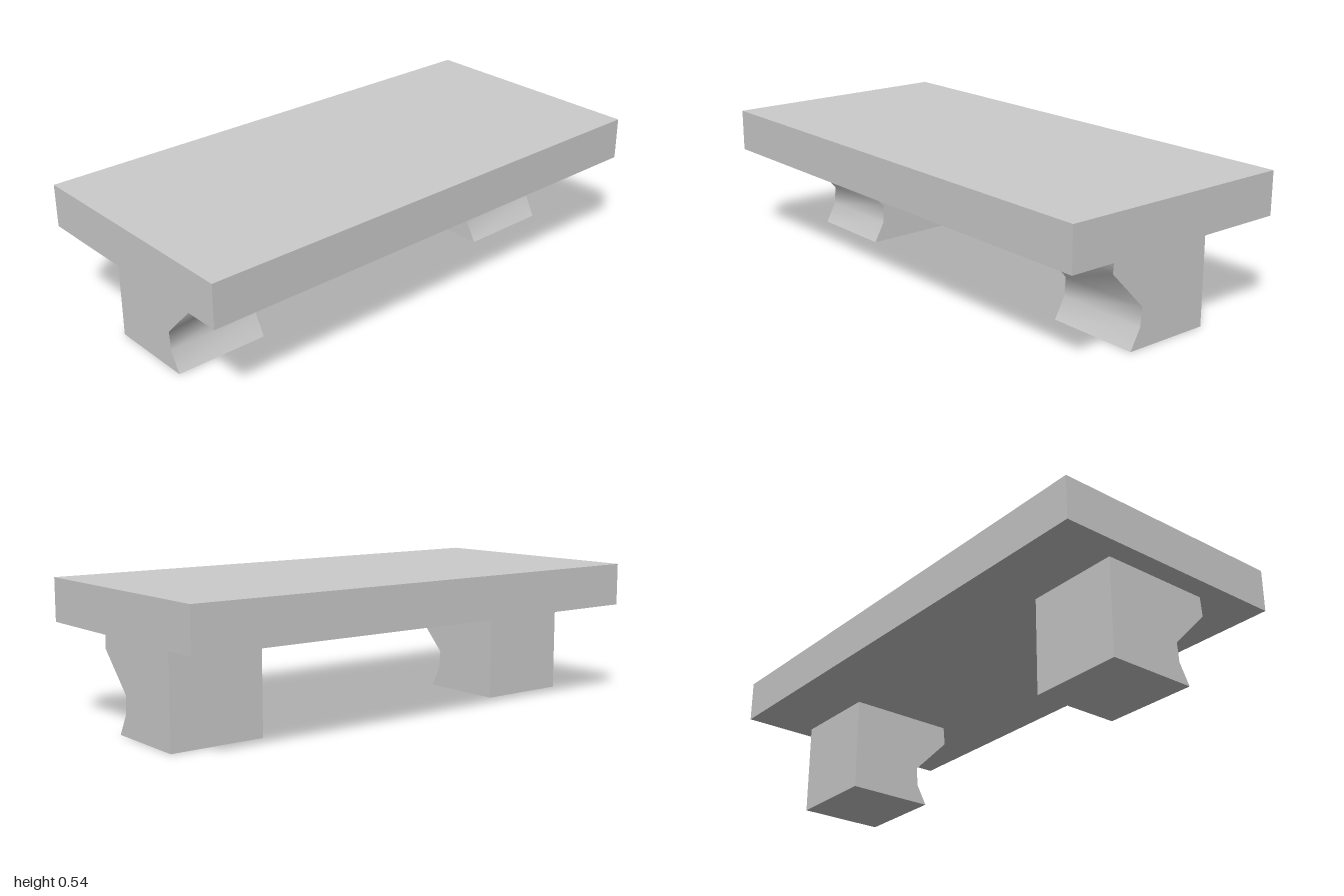
import * as THREE from 'three';
import { toCreasedNormals } from 'three/addons/utils/BufferGeometryUtils.js';

const material = new THREE.MeshStandardMaterial({ color: 0xcccccc });

// Side profile of a foot: straight outer edge, scooped inner edge
const footProfile = [
  [-0.217, 0], [0.132, 0], [0.09, 0.077], [0.084, 0.15],
  [0.228, 0.298], [0.221, 0.371], [-0.217, 0.371],
];

function makeFoot(name, zStart, depth) {
  const shape = new THREE.Shape(footProfile.map(([x, y]) => new THREE.Vector2(x, y)));
  const extruded = new THREE.ExtrudeGeometry(shape, { depth, bevelEnabled: false });
  // Scooped edge is shaded smooth, the square corners stay sharp
  const foot = new THREE.Mesh(toCreasedNormals(extruded, 1.05), material);
  foot.name = name;
  foot.position.z = zStart;
  return foot;
}

export function createModel() {
  const model = new THREE.Group();
  model.name = 'slabBench';

  // Flat slab top
  const top = new THREE.Mesh(new THREE.BoxGeometry(0.954, 0.165, 2), material);
  top.name = 'slabTop';
  top.position.y = 0.371 + 0.165 / 2;
  model.add(top);

  // One foot near each end
  model.add(makeFoot('frontFoot', 0.55, 0.37));
  model.add(makeFoot('backFoot', -0.93, 0.37));

  return model;
}
